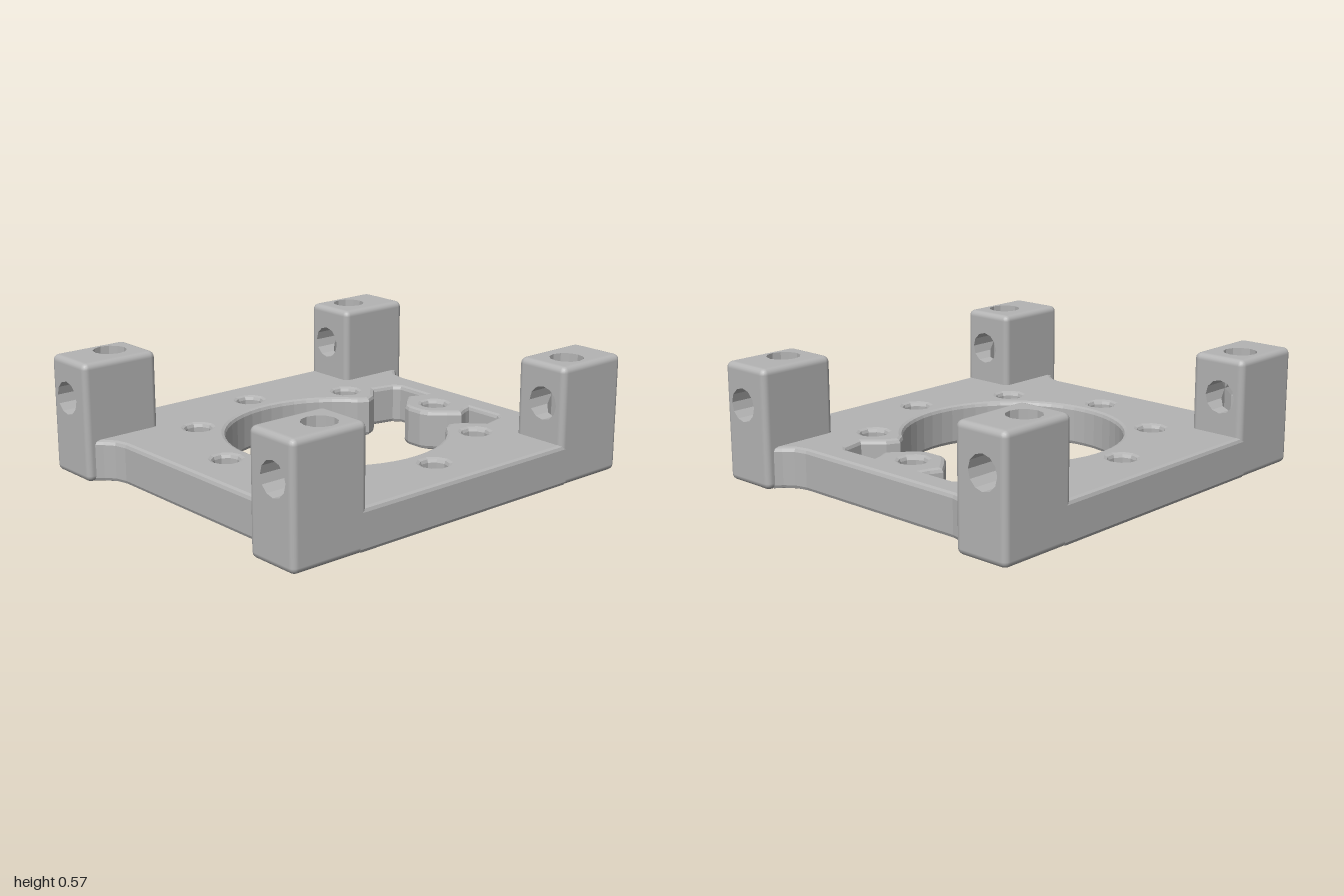
import * as THREE from 'three';
import { mergeGeometries } from 'three/addons/utils/BufferGeometryUtils.js';
import { RoundedBoxGeometry } from 'three/addons/geometries/RoundedBoxGeometry.js';

const SIDES = 12;
const BORE = 0.08;                      // radius of the bores in the posts
const AXIS = { x: 0.755, y: 0.38, z: 0.757 }; // point where both bores cross
const POST = { x0: 0.6, x1: 1, y0: 0, y1: 0.57, z0: 0.6, z1: 0.88, r: 0.03 };

const pts = (list) => list.map(([x, y]) => new THREE.Vector2(x, y));

function ring(cx, cy, r, n = SIDES) {
  const out = [];
  for (let i = 0; i < n; i++) {
    const a = (i / n) * Math.PI * 2;
    out.push(new THREE.Vector2(cx + r * Math.cos(a), cy + r * Math.sin(a)));
  }
  return out;
}

// Base plate with the large opening, its side pockets and the screw holes
function plateGeometry() {
  const quarter = [[0.88, 0.47], [0.895, 0.53], [0.93, 0.575], [0.97, 0.61], [0.97, 0.64], [0.64, 0.64], [0.64, 0.88]];
  const flip = (list, sx, sy) => list.map(([x, y]) => [x * sx, y * sy]);
  const outline = [
    ...quarter,
    ...flip(quarter, -1, 1).reverse(),
    ...flip(quarter, -1, -1),
    ...flip(quarter, 1, -1).reverse(),
  ];
  const shape = new THREE.Shape(pts(outline));

  // Opening: a round arc, closed by two pockets with a lug between them
  const opening = [];
  for (let i = 0; i <= 40; i++) {
    const a = THREE.MathUtils.degToRad(37 + (286 * i) / 40);
    opening.push([0.525 * Math.cos(a), 0.52 * Math.sin(a)]);
  }
  const pocket = [[0.47, 0.28], [0.53, 0.31], [0.61, 0.395], [0.72, 0.37], [0.745, 0.34],
    [0.745, 0.155], [0.71, 0.165], [0.655, 0.19], [0.6, 0.145], [0.53, 0.08], [0.515, 0.04]];
  opening.push(...flip(pocket, 1, -1), ...pocket.slice().reverse());
  shape.holes.push(new THREE.Path(pts(opening)));

  const screws = [[0, 0.66], [0, -0.66], [0.655, 0], [-0.655, 0],
    [0.47, 0.46], [-0.47, 0.46], [0.47, -0.46], [-0.47, -0.46]];
  for (const [x, y] of screws) shape.holes.push(new THREE.Path(ring(x, y, 0.063, 10)));

  const b = 0.02;
  const geo = new THREE.ExtrudeGeometry(shape, {
    depth: 0.2 - 2 * b, bevelThickness: b, bevelSize: b, bevelOffset: -b, bevelSegments: 2, curveSegments: 1,
  });
  return geo.translate(0, 0, b).rotateX(-Math.PI / 2);
}

// Flat panel with one round hole, in its own plane
function panel(u0, u1, v0, v1, cu, cv) {
  const s = new THREE.Shape(pts([[u0, v0], [u1, v0], [u1, v1], [u0, v1]]));
  s.holes.push(new THREE.Path(ring(cu, cv, BORE)));
  return new THREE.ShapeGeometry(s);
}

// Half bore from the crossing point outwards, mitred where the bores meet
function bore(length, turn) {
  const g = new THREE.CylinderGeometry(BORE, BORE, 1, SIDES, 1, true);
  const p = g.attributes.position;
  for (let i = 0; i < p.count; i++) p.setY(i, p.getY(i) > 0 ? length : Math.abs(p.getX(i)));
  const flat = g.rotateZ(turn).translate(AXIS.x, AXIS.y, AXIS.z).toNonIndexed();
  flat.computeVertexNormals();
  return flat;
}

// Rounded block without the four flat faces that carry holes
function openBlock() {
  const { x0, x1, y0, y1, z0, z1, r } = POST;
  const box = new RoundedBoxGeometry(x1 - x0, y1 - y0, z1 - z0, 2, r);
  box.translate((x0 + x1) / 2, (y0 + y1) / 2, (z0 + z1) / 2);
  const src = box.index ? box.toNonIndexed() : box;
  const p = src.attributes.position, n = src.attributes.normal;
  const pos = [], nor = [];
  for (let i = 0; i < p.count; i += 3) {
    const k = [i, i + 1, i + 2];
    const on = (get, v) => k.every((j) => Math.abs(p[get](j) - v) < 1e-4);
    if (on('getX', x0) || on('getX', x1) || on('getY', y0) || on('getY', y1)) continue;
    for (const j of k) {
      pos.push(p.getX(j), p.getY(j), p.getZ(j));
      nor.push(n.getX(j), n.getY(j), n.getZ(j));
    }
  }
  const g = new THREE.BufferGeometry();
  g.setAttribute('position', new THREE.Float32BufferAttribute(pos, 3));
  g.setAttribute('normal', new THREE.Float32BufferAttribute(nor, 3));
  return g;
}

// Corner post with an upright and a sideways bore
function postGeometry() {
  const { x0, x1, y0, y1, z0, z1, r } = POST;
  const H = Math.PI / 2;
  const [xa, xb, ya, yb, za, zb] = [x0 + r, x1 - r, y0 + r, y1 - r, z0 + r, z1 - r];
  const parts = [
    openBlock(),
    panel(xa, xb, -zb, -za, AXIS.x, -AXIS.z).rotateX(-H).translate(0, y1, 0),
    panel(xa, xb, za, zb, AXIS.x, AXIS.z).rotateX(H).translate(0, y0, 0),
    panel(-zb, -za, ya, yb, -AXIS.z, AXIS.y).rotateY(H).translate(x1, 0, 0),
    panel(za, zb, ya, yb, AXIS.z, AXIS.y).rotateY(-H).translate(x0, 0, 0),
    bore(y1 - AXIS.y, 0),
    bore(AXIS.y - y0, Math.PI),
    bore(x1 - AXIS.x, -H),
    bore(AXIS.x - x0, H),
  ].map((g) => {
    const flat = g.index ? g.toNonIndexed() : g;
    flat.deleteAttribute('uv');
    return flat;
  });
  return mergeGeometries(parts);
}

export function createModel() {
  const group = new THREE.Group();
  group.name = 'mountingBracket';
  const grey = new THREE.MeshStandardMaterial({ color: 0xb4b4b4, side: THREE.DoubleSide });
  grey.name = 'grey';

  const plate = new THREE.Mesh(plateGeometry(), grey);
  plate.name = 'basePlate';
  group.add(plate);

  // Four posts, mirrored from one
  const geo = postGeometry();
  for (const [name, sx, sz] of [['frontLeftPost', 1, 1], ['frontRightPost', -1, 1],
    ['backLeftPost', 1, -1], ['backRightPost', -1, -1]]) {
    const post = new THREE.Mesh(geo, grey);
    post.name = name;
    post.scale.set(sx, 1, sz);
    group.add(post);
  }
  return group;
}
